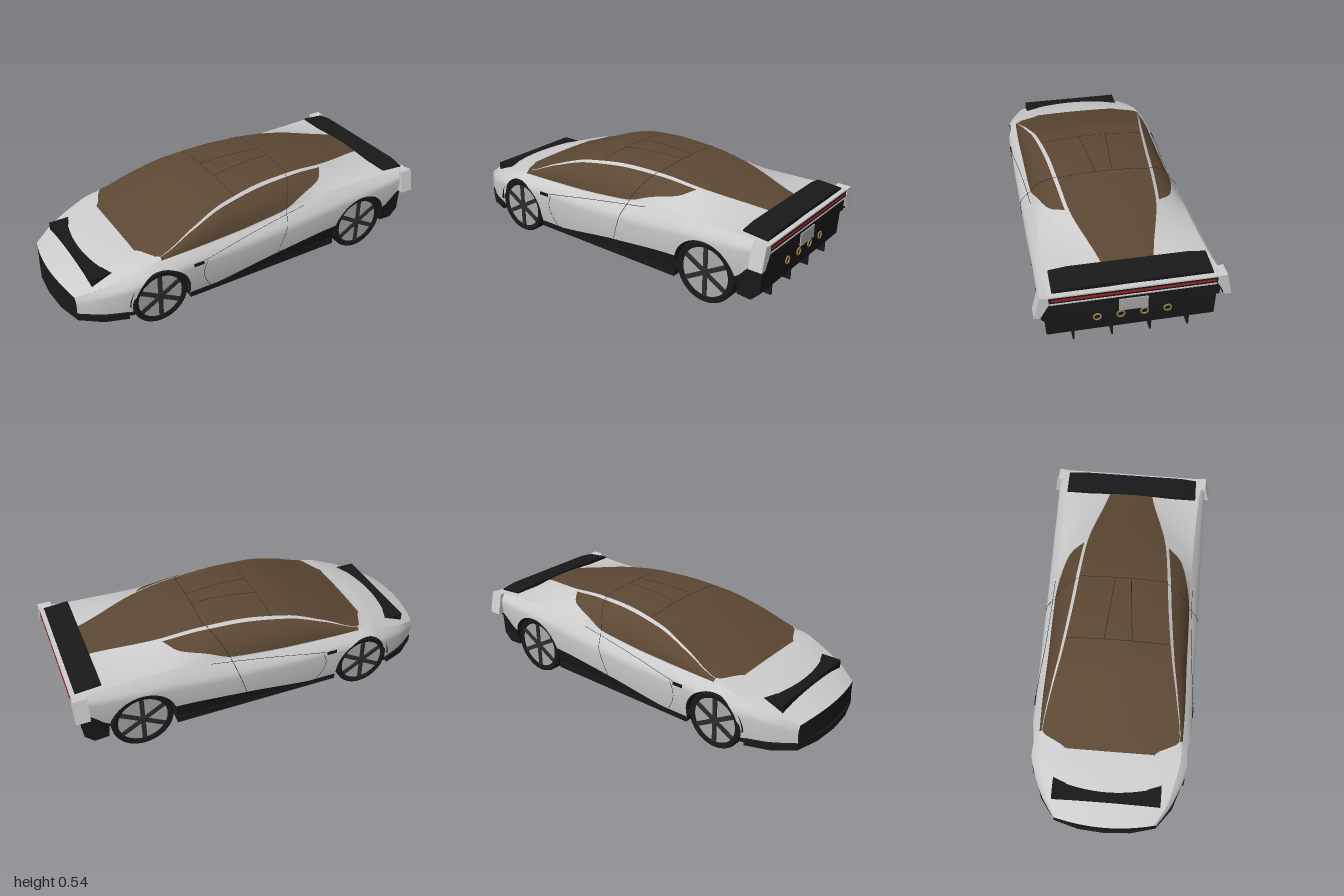
import * as THREE from 'three';

const mat = (color) => new THREE.MeshStandardMaterial({ color, side: THREE.DoubleSide });
const WHEELS = [{ x: -0.565, r: 0.15 }, { x: 0.67, r: 0.16 }];
const clamp = THREE.MathUtils.clamp, lerp = THREE.MathUtils.lerp;

// Smooth monotone interpolation of column k in rows [x, ...values]
function curve(rows, k, x) {
  const n = rows.length;
  x = clamp(x, rows[0][0], rows[n - 1][0]);
  let i = 0;
  while (i < n - 2 && x > rows[i + 1][0]) i++;
  const slope = (j) => (rows[j + 1][k] - rows[j][k]) / (rows[j + 1][0] - rows[j][0]);
  const tangent = (j) => {
    if (j === 0) return slope(0);
    if (j === n - 1) return slope(n - 2);
    const a = slope(j - 1), b = slope(j);
    return a * b <= 0 ? 0 : (2 * a * b) / (a + b);
  };
  const h = rows[i + 1][0] - rows[i][0], t = (x - rows[i][0]) / h, t2 = t * t, t3 = t2 * t;
  return (2 * t3 - 3 * t2 + 1) * rows[i][k] + (t3 - 2 * t2 + t) * h * tangent(i)
    + (3 * t2 - 2 * t3) * rows[i + 1][k] + (t3 - t2) * h * tangent(i + 1);
}

// x, widest z, widest y, belt z, belt y, roof edge z, roof edge y, centre y
const BODY = [
  [-0.99, 0.27, 0.18, 0.26, 0.215, 0.17, 0.225, 0.23],
  [-0.88, 0.345, 0.22, 0.32, 0.26, 0.2, 0.272, 0.277],
  [-0.70, 0.405, 0.26, 0.36, 0.315, 0.22, 0.33, 0.335],
  [-0.62, 0.415, 0.28, 0.37, 0.335, 0.23, 0.348, 0.352],
  [-0.54, 0.42, 0.285, 0.372, 0.345, 0.355, 0.36, 0.388],
  [-0.35, 0.42, 0.29, 0.375, 0.35, 0.325, 0.435, 0.457],
  [-0.15, 0.42, 0.29, 0.372, 0.354, 0.285, 0.495, 0.514],
  [0.12, 0.42, 0.3, 0.37, 0.375, 0.25, 0.52, 0.536],
  [0.3, 0.42, 0.31, 0.366, 0.398, 0.235, 0.515, 0.53],
  [0.5, 0.42, 0.33, 0.37, 0.41, 0.215, 0.49, 0.503],
  [0.85, 0.42, 0.36, 0.385, 0.409, 0.12, 0.428, 0.433],
  [0.985, 0.42, 0.38, 0.405, 0.407, 0.1, 0.408, 0.41],
];
const SILL = [[-1, 0.12], [-0.72, 0.11], [-0.41, 0.1], [0.12, 0.165], [0.5, 0.2], [0.83, 0.205], [0.94, 0.295], [1, 0.3]];
const BOTTOM = [[-1, 0.1], [-0.72, 0.085], [0.6, 0.085], [0.83, 0.11], [0.94, 0.28], [1, 0.29]];
const WINDOW = [[-0.54, 0.03], [0.18, 0.03], [0.32, 0.25], [0.44, 0.5], [0.5, 0.9]];
const b = (k, x) => curve(BODY, k, x);

// Nose is swept back towards the sides
const point = (x, y, z) => new THREE.Vector3(x + 0.5 * z * z * clamp((-0.6 - x) / 0.39, 0, 1), y, z);

function archY(x) {
  let y = 0;
  for (const w of WHEELS) {
    const R = w.r + 0.012, d = Math.abs(x - w.x);
    if (d <= R + 1e-6) y = Math.max(y, w.r + Math.sqrt(Math.max(0, R * R - d * d)));
  }
  return y;
}
function flank(x, y, s) {
  y = Math.max(y, archY(x));
  const zW = b(1, x), yW = b(2, x), yB = b(4, x);
  const z = y < yW ? zW - 0.025 * ((yW - y) / 0.2) ** 2
    : lerp(zW, b(3, x), clamp((y - yW) / (yB - yW), 0, 1) ** 1.4);
  return point(x, y, s * z);
}
function cabin(x, t, s) {
  const yB = b(4, x), yR = b(6, x);
  const bulge = 0.13 * (yR - yB) * Math.sin(Math.PI * t) * clamp((0.6 - x) / 0.3, 0, 1);
  return point(x, lerp(yB, yR, t) + bulge * 0.5, s * (lerp(b(3, x), b(5, x), t) + bulge));
}
function top(x, t) { // t runs -1..1 across the car
  return point(x, lerp(b(7, x), b(6, x), t * t), t * b(5, x));
}

// Surface through fn(x, v) over a list of x columns
function sheet(xs, rows, fn) {
  const pos = [], idx = [];
  xs.forEach((x, i) => {
    for (let j = 0; j <= rows; j++) {
      pos.push(...fn(x, j / rows).toArray());
      if (i && j) {
        const d = i * (rows + 1) + j, c = d - rows - 1;
        idx.push(c - 1, d - 1, d, c - 1, d, c);
      }
    }
  });
  const g = new THREE.BufferGeometry();
  g.setAttribute('position', new THREE.Float32BufferAttribute(pos, 3));
  g.setIndex(idx);
  g.computeVertexNormals();
  return g;
}
const range = (a, c, n) => Array.from({ length: n + 1 }, (_, i) => lerp(a, c, i / n));

export function createModel() {
  const car = new THREE.Group();
  const paint = mat(0xcccccc), black = mat(0x191919), glass = mat(0x5c4833), red = mat(0xb02020),
    dark = mat(0x2c2c2e), gold = mat(0x9a7d4c), plateGrey = mat(0xa8a8a8);
  const add = (name, g, m, parent = car) => {
    const mesh = new THREE.Mesh(g, m);
    mesh.name = name;
    parent.add(mesh);
    return mesh;
  };
  const box = (name, m, w, h, d, x, y, z) => add(name, new THREE.BoxGeometry(w, h, d), m).position.set(x, y, z);
  const seam = (name, pts) => add(name, new THREE.TubeGeometry(new THREE.CatmullRomCurve3(pts), 16, 0.0014, 4), dark);

  // Columns: even spacing plus the exact wheel arch curve
  const cols = range(-0.99, 0.985, 110);
  for (const w of WHEELS) {
    for (let i = 0; i <= 24; i++) cols.push(w.x + (w.r + 0.012) * Math.cos((i * Math.PI) / 24));
    cols.push(w.x - w.r - 0.013, w.x + w.r + 0.013);
  }
  cols.sort((p, q) => p - q);

  for (const s of [1, -1]) {
    const side = s > 0 ? 'left' : 'right';
    const sill = (x) => curve(SILL, 1, x);
    add(side + 'Flank', sheet(cols, 12, (x, v) => flank(x, lerp(sill(x), b(4, x), v), s)), paint);
    add(side + 'Sill', sheet(cols, 3, (x, v) => flank(x, lerp(curve(BOTTOM, 1, x), sill(x), v), s)), black);

    // Shoulder, side window and roof pillar share one surface
    const w0 = (x) => curve(WINDOW, 1, x);
    add(side + 'FrontFender', sheet(range(-0.99, -0.54, 24), 6, (x, v) => cabin(x, v, s)), paint);
    add(side + 'Shoulder', sheet(range(-0.54, 0.5, 50), 4, (x, v) => cabin(x, v * w0(x), s)), paint);
    add(side + 'Window', sheet(range(-0.54, 0.5, 50), 8, (x, v) => cabin(x, lerp(w0(x), 0.9, v), s)), glass);
    add(side + 'Pillar', sheet(range(-0.54, 0.5, 50), 2, (x, v) => cabin(x, lerp(0.9, 1, v), s)), paint);
    add(side + 'RearQuarter', sheet(range(0.5, 0.985, 24), 6, (x, v) => cabin(x, v, s)), paint);

    // Panel gaps and vent
    const out = (p) => p.add(new THREE.Vector3(0, 0, s * 0.0005));
    seam(side + 'DoorFrontSeam', range(0, 1, 6).map((t) => out(flank(-0.29 - 0.04 * Math.sin(t * 2.6), lerp(0.12, 0.29, t), s))));
    seam(side + 'DoorRearSeam', range(0, 1, 6).map((t) => out(flank(lerp(0.12, 0.19, t), lerp(0.17, 0.38, t), s))));
    seam(side + 'WindowSeam', range(0, 1, 6).map((t) => out(cabin(lerp(0.19, 0.27, t), t, s))));
    seam(side + 'WaistSeam', range(-0.33, 0.3, 8).map((x) => out(flank(x, lerp(0.295, 0.385, (x + 0.33) / 0.63), s))));
    seam(side + 'RoofSeam', range(-0.07, 0.28, 6).map((x) => top(x, s * lerp(0.27, 0.18, (x + 0.07) / 0.35))));
    box(side + 'Vent', black, 0.055, 0.016, 0.01, -0.36, 0.286, s * 0.418);

    // Tail fin
    const fin = new THREE.Shape([[0.38, 0.37], [0.385, 0.408], [0.422, 0.412], [0.45, 0.295], [0.42, 0.295]]
      .map(([z, y]) => new THREE.Vector2(s * z, y)));
    const finGeo = new THREE.ExtrudeGeometry(fin, { depth: 0.07, bevelEnabled: false });
    finGeo.rotateY(Math.PI / 2);
    finGeo.scale(1, 1, -1);
    add(side + 'TailFin', finGeo, paint).position.x = 0.93;
  }

  // Bonnet, windscreen with roof, rear deck
  add('bonnet', sheet(range(-0.99, -0.62, 20), 12, (x, v) => top(x, v * 2 - 1)), paint);
  add('glassRoof', sheet(range(-0.62, 0.85, 70), 16, (x, v) => top(x, v * 2 - 1)), glass);
  add('rearDeck', sheet(range(0.85, 0.985, 6), 12, (x, v) => top(x, v * 2 - 1)), paint);
  add('bonnetPanel', sheet(range(-0.89, -0.73, 10), 12, (x, v) => top(x, v * 2 - 1).setY(top(x, v * 2 - 1).y + 0.0015)), mat(0xbcbcbc));
  for (const x of [-0.07, 0.28]) seam('roofCrossSeam', range(-1, 1, 8).map((t) => top(x, t)));

  // Nose and tail faces
  add('noseFace', sheet(range(-1, 1, 20), 4, (u, v) =>
    point(-0.99, lerp(0.1, 0.23 - 0.015 * u * u, v), u * lerp(0.262, 0.262, v))), black);
  box('tailFace', black, 0.02, 0.12, 0.8, 0.972, 0.345, 0);

  // Floor with splitter, notched at the wheels
  const half = [[-1, 0], [-0.99, 0.14], [-0.955, 0.27], [-0.85, 0.35], [-0.735, 0.39], [-0.735, 0.29], [-0.4, 0.29],
    [-0.4, 0.4], [0.495, 0.4], [0.495, 0.29], [0.845, 0.29], [0.9, 0.27]];
  const plan = new THREE.Shape([...half, ...half.slice(1).reverse().map(([x, z]) => [x, -z])].map((p) => new THREE.Vector2(...p)));
  const floorGeo = new THREE.ExtrudeGeometry(plan, { depth: 0.035, bevelEnabled: false });
  floorGeo.rotateX(Math.PI / 2);
  add('floor', floorGeo, black).position.y = 0.115;
  box('innerTub', black, 1.72, 0.2, 0.56, -0.01, 0.2, 0);

  // Diffuser
  const prof = new THREE.Shape([[0.845, 0.11], [0.92, 0.105], [0.965, 0.15], [0.972, 0.3], [0.972, 0.35], [0.845, 0.35]]
    .map((p) => new THREE.Vector2(...p)));
  add('diffuser', new THREE.ExtrudeGeometry(prof, { depth: 0.78, bevelEnabled: false }), black).position.z = -0.39;
  for (const z of [-0.27, -0.09, 0.09, 0.27]) box('diffuserVane', black, 0.1, 0.08, 0.008, 0.91, 0.13, z);

  // Spoiler, light bar, plate and exhausts
  const wing = new THREE.Shape([[-0.365, 0], [0.365, 0], [0.365, 0.008], [0.28, 0.02], [-0.28, 0.02], [-0.365, 0.008]]
    .map((p) => new THREE.Vector2(...p)));
  const wingGeo = new THREE.ExtrudeGeometry(wing, { depth: 0.13, bevelEnabled: false });
  wingGeo.rotateY(Math.PI / 2);
  const spoiler = add('spoiler', wingGeo, black);
  spoiler.position.set(0.845, 0.421, 0);
  spoiler.rotation.z = -0.09;
  box('lightBar', black, 0.02, 0.03, 0.76, 0.987, 0.385, 0);
  box('tailLight', red, 0.004, 0.009, 0.74, 0.998, 0.386, 0);
  box('tailTrimTop', paint, 0.02, 0.007, 0.8, 0.987, 0.404, 0);
  box('tailTrimBottom', paint, 0.02, 0.007, 0.76, 0.985, 0.361, 0);
  box('rearPlate', plateGrey, 0.006, 0.066, 0.134, 0.985, 0.298, 0);
  for (const z of [-0.163, -0.055, 0.055, 0.163]) {
    const pipe = add('exhaust', new THREE.TorusGeometry(0.017, 0.004, 8, 24), gold);
    pipe.rotation.y = Math.PI / 2;
    pipe.position.set(0.975, 0.232, z);
  }

  // Wheels and arch liners
  for (const w of WHEELS) for (const s of [1, -1]) {
    const wheel = new THREE.Group();
    wheel.name = (w.x < 0 ? 'front' : 'rear') + (s > 0 ? 'Left' : 'Right') + 'Wheel';
    const { r } = w, q = r * 0.8;
    const tyre = [[q, -0.04], [r - 0.012, -0.047], [r - 0.003, -0.042], [r, -0.034], [r, 0.034], [r - 0.003, 0.042], [r - 0.012, 0.047], [q, 0.04]];
    add('tyre', new THREE.LatheGeometry(tyre.map((p) => new THREE.Vector2(...p)), 48), black, wheel).rotation.x = Math.PI / 2;
    add('rim', new THREE.CylinderGeometry(q, q, 0.07, 48), plateGrey, wheel).rotation.x = Math.PI / 2;
    for (let i = 0; i < 6; i++) {
      const arm = new THREE.BoxGeometry(0.022, q, 0.012);
      arm.translate(0, q / 2, 0.037);
      add('spoke', arm, dark, wheel).rotation.z = (i * Math.PI) / 3;
    }
    add('hub', new THREE.CylinderGeometry(0.022, 0.026, 0.02, 20), dark, wheel).rotation.x = Math.PI / 2;
    wheel.children.at(-1).position.z = 0.036;
    wheel.position.set(w.x, r, s * 0.353);
    if (s < 0) wheel.rotation.y = Math.PI;
    car.add(wheel);
    const liner = add('archLiner', sheet(range(0, Math.PI, 24), 1, (a, v) =>
      new THREE.Vector3((r + 0.012) * Math.cos(a), (r + 0.012) * Math.sin(a), s * lerp(0.26, 0.4, v))), black);
    liner.position.set(w.x, r, 0);
  }
  return car;
}
